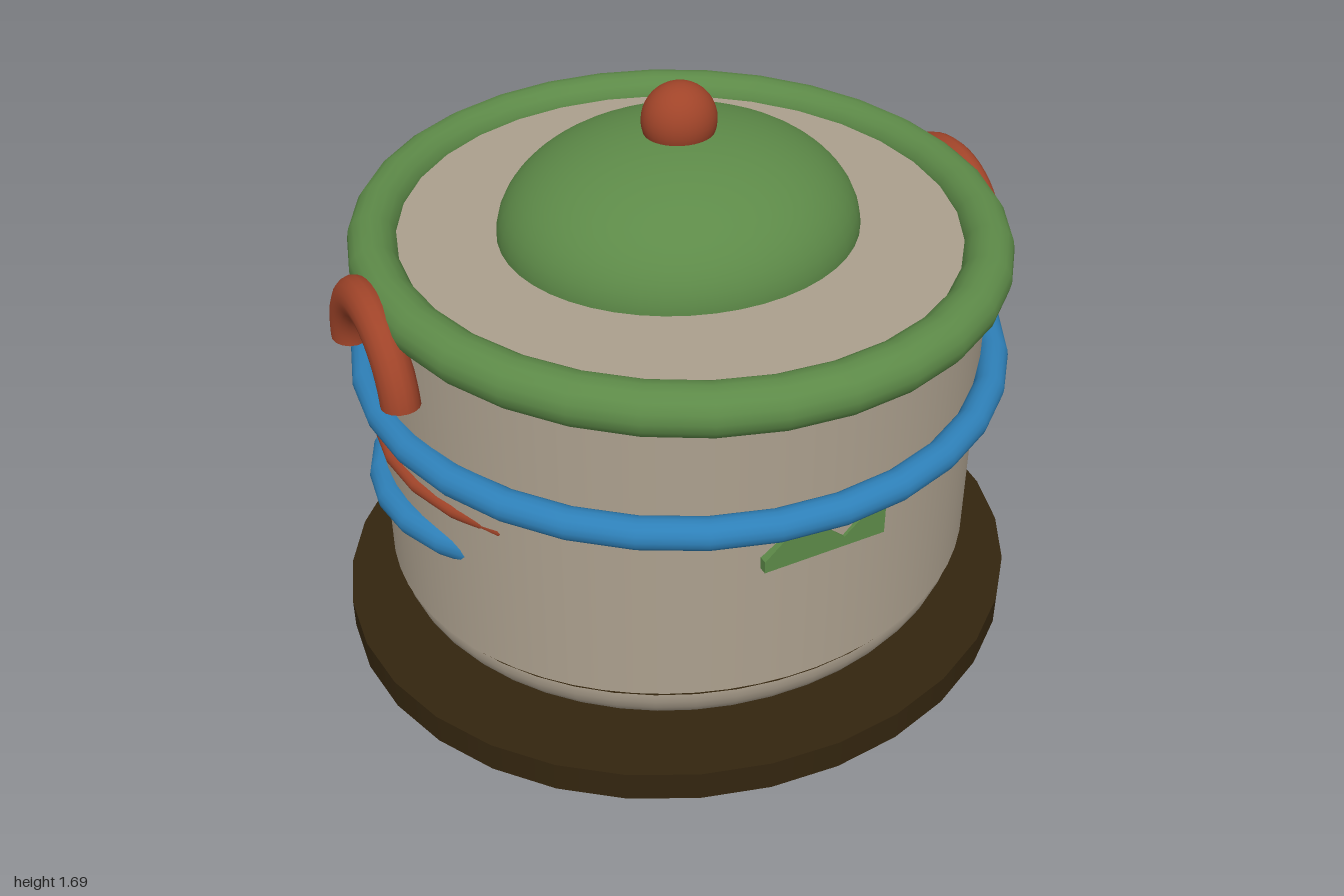
import * as THREE from 'three';

const mat = (name, color, side = THREE.FrontSide) => {
  const m = new THREE.MeshStandardMaterial({ color, side });
  m.name = name;
  return m;
};

export function createModel() {
  const model = new THREE.Group();
  model.name = 'cookingPot';

  const clay = mat('warm grey', 0xaca08e, THREE.DoubleSide);
  const green = mat('leaf green', 0x5d8a48);
  const red = mat('brick red', 0xa04429, THREE.DoubleSide);
  const blue = mat('blue', 0x2e80b8);
  const wood = mat('dark wood', 0x33250f);

  const OVAL = 0.9375; // the pot is slightly shallower front to back

  const add = (name, geometry, material, y = 0) => {
    const mesh = new THREE.Mesh(geometry, material);
    mesh.name = name;
    mesh.position.y = y;
    model.add(mesh);
    return mesh;
  };

  // Upright oval cylinder between two heights
  const drum = (name, r, y0, y1, seg, material) =>
    add(name, new THREE.CylinderGeometry(r, r, y1 - y0, seg).scale(1, 1, OVAL), material, (y0 + y1) / 2);

  // Horizontal ring, stretched along z
  const ring = (name, radius, tube, zScale, material, y) =>
    add(name, new THREE.TorusGeometry(radius, tube, 16, 32).rotateX(Math.PI / 2).scale(1, 1, zScale), material, y);

  // Base plate, rounded bottom and body
  drum('basePlate', 1, 0.075, 0.165, 32, wood);
  add('roundedBottom',
    new THREE.SphereGeometry(0.85, 48, 16, 0, Math.PI * 2, Math.PI / 2, Math.PI / 2)
      .scale(1, 0.315 / 0.85, OVAL), clay, 0.315);
  drum('body', 0.86, 0.33, 1.285, 64, clay);

  // Rim and lid
  ring('rim', 0.82, 0.067, 1.037, green, 1.27);
  add('lidDome',
    new THREE.SphereGeometry(0.497, 48, 16, 0, Math.PI * 2, 0, Math.PI / 2)
      .scale(1, 0.282 / 0.497, OVAL), green, 1.283);
  add('lidKnob', new THREE.SphereGeometry(0.102, 32, 20).scale(1, 1, OVAL), red, 1.592);

  // Bands: the lower two are narrow ovals that surface only on the sides
  ring('upperBand', 0.875, 0.042, 1, blue, 0.923);
  ring('thinSideBand', 0.858, 0.023, 0.865, red, 0.785);
  ring('thickSideBand', 0.872, 0.043, 0.7, blue, 0.65);

  // Arched side handles
  for (const [name, side] of [['leftHandle', 1], ['rightHandle', -1]]) {
    const arch = new THREE.TorusGeometry(0.204, 0.0585, 16, 24, 3.0).scale(1, 1, 0.86).rotateY(Math.PI / 2);
    add(name, arch, red, 1.065).position.x = side * 0.881;
  }

  // Zigzag emblem on the front
  const outline = new THREE.Shape([
    [-0.176, 0.735], [0.176, 0.735], [0.176, 0.87], [0.055, 0.765], [-0.064, 0.87], [-0.176, 0.77],
  ].map(([x, y]) => new THREE.Vector2(x, y)));
  add('frontZigzag', new THREE.ExtrudeGeometry(outline, { depth: 0.027, bevelEnabled: false }), green)
    .position.z = 0.785;

  return model;
}
